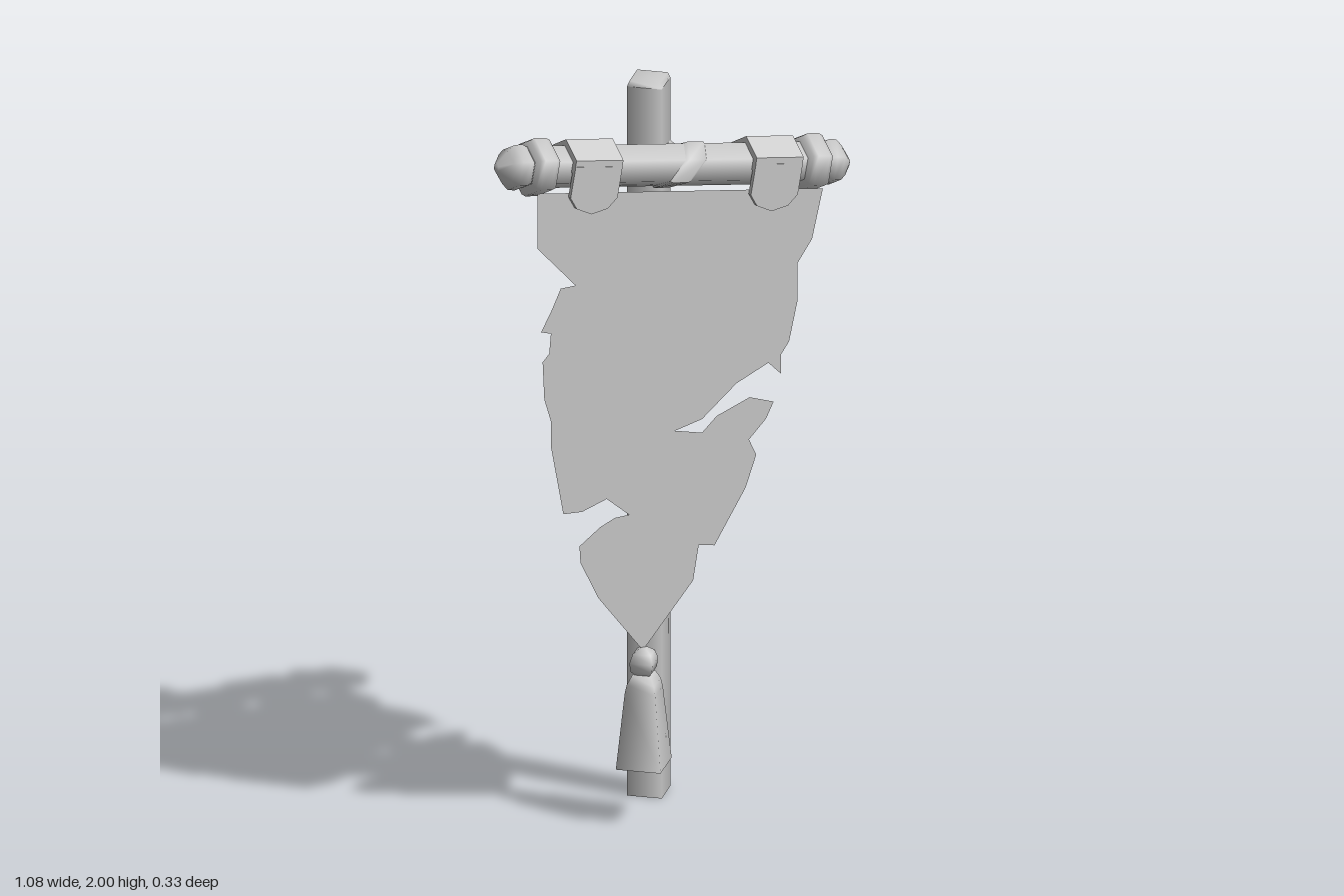
import * as THREE from 'three';

const grey = new THREE.MeshStandardMaterial({ color: 0xcccccc });
const greyDouble = new THREE.MeshStandardMaterial({ color: 0xcccccc, side: THREE.DoubleSide });

function addMesh(parent, name, geometry, material = grey) {
  const mesh = new THREE.Mesh(geometry, material);
  mesh.name = name;
  parent.add(mesh);
  return mesh;
}

const vectors = (pts) => pts.map(([x, y]) => new THREE.Vector2(x, y));

// Turned form around y; profile runs bottom to top as [radius, height]
const turned = (profile, sides, start = 0) =>
  new THREE.LatheGeometry(vectors(profile), sides, start);

// Six-sided form along x with one corner pointing up
const turnedAlongX = (profile) => turned(profile, 6, Math.PI / 6).rotateZ(-Math.PI / 2);

// Cloth strap: folded over the bar, with a rounded flap hanging in front
function makeLoop(x) {
  const loop = new THREE.Group();
  loop.name = 'hangingLoop';
  const width = 0.145;
  const fold = new THREE.Shape(vectors([
    [-0.064, -0.03], [-0.05, -0.03], [-0.05, 0.029], [0, 0.058], [0.05, 0.029],
    [0.05, 0], [0.066, 0], [0.066, 0.037], [0, 0.075], [-0.064, 0.037],
  ]));
  const foldGeometry = new THREE.ExtrudeGeometry(fold, { depth: width, bevelEnabled: false });
  foldGeometry.rotateY(-Math.PI / 2).translate(width / 2, 0, 0);
  addMesh(loop, 'loopFold', foldGeometry);

  const h = width / 2;
  const flap = new THREE.Shape(vectors([
    [-h, 0.02], [-h, -0.065], [-0.048, -0.095], [0, -0.11], [0.048, -0.095], [h, -0.065], [h, 0.02],
  ]));
  const flapGeometry = new THREE.ExtrudeGeometry(flap, { depth: 0.012, bevelEnabled: false });
  addMesh(loop, 'loopFlap', flapGeometry.translate(0, 0, 0.055));
  loop.position.x = x;
  return loop;
}

export function createModel() {
  const model = new THREE.Group();
  model.name = 'tatteredBanner';

  // Square pole turned corner-on, with a lashing around it
  const pole = new THREE.Group();
  pole.name = 'pole';
  pole.position.set(-0.003, 0, -0.085);
  model.add(pole);
  addMesh(pole, 'poleShaft', turned([[0.066, 0], [0.066, 1.985]], 4));
  addMesh(pole, 'poleTop', turned([[0.066, 1.985], [0.058, 2], [0, 2]], 4));
  addMesh(pole, 'poleBottom', turned([[0, 0], [0.066, 0]], 4));
  addMesh(pole, 'poleLashing', turned(
    [[0.064, 1.748], [0.08, 1.765], [0.083, 1.78], [0.08, 1.795], [0.064, 1.812]], 4));

  // Slanted crossbar
  const crossbar = new THREE.Group();
  crossbar.name = 'crossbar';
  crossbar.position.set(0, 1.79, 0.028);
  crossbar.rotation.z = -0.184;
  model.add(crossbar);
  addMesh(crossbar, 'barShaft', turnedAlongX([[0.058, -0.46], [0.058, 0.46]]));

  // Collars and pointed finials, mirrored at both ends
  for (const side of [-1, 1]) {
    const end = new THREE.Group();
    end.name = side < 0 ? 'rightBarEnd' : 'leftBarEnd';
    if (side < 0) end.rotation.y = Math.PI;
    addMesh(end, 'collar', turnedAlongX(
      [[0.054, 0.383], [0.074, 0.392], [0.08, 0.405], [0.08, 0.44], [0.074, 0.452], [0.054, 0.461]]));
    addMesh(end, 'finial', turnedAlongX(
      [[0.054, 0.455], [0.063, 0.475], [0.062, 0.497], [0.045, 0.517], [0.012, 0.544], [0, 0.547]]));
    crossbar.add(end);
  }
  crossbar.add(makeLoop(-0.27), makeLoop(0.288));

  // Lashing that crosses the bar on a slant
  const lashing = turnedAlongX(
    [[0.056, -0.035], [0.063, -0.024], [0.063, 0.024], [0.056, 0.035]]);
  const p = lashing.attributes.position;
  for (let i = 0; i < p.count; i++) p.setX(i, p.getX(i) + 0.02 + 0.65 * p.getY(i));
  lashing.computeVertexNormals();
  addMesh(crossbar, 'barLashing', lashing);

  // Torn cloth, outlined from the top right corner down and round the tip
  const outline = [
    [-0.44, 1.815], [-0.44, 1.66], [-0.325, 1.535], [-0.37, 1.535], [-0.4, 1.475], [-0.43, 1.425],
    [-0.4, 1.415], [-0.405, 1.36], [-0.425, 1.34], [-0.42, 1.235], [-0.4, 1.17], [-0.4, 1.1],
    [-0.362, 0.902], [-0.305, 0.897], [-0.23, 0.918], [-0.162, 0.86], [-0.205, 0.86], [-0.25, 0.843],
    [-0.313, 0.802], [-0.31, 0.755], [-0.255, 0.645], [-0.12, 0.472], [0.033, 0.637], [0.05, 0.733],
    [0.098, 0.722], [0.193, 0.865], [0.225, 0.95], [0.203, 0.997], [0.255, 1.045], [0.278, 1.088],
    [0.205, 1.115], [0.105, 1.083], [0.06, 1.045], [-0.022, 1.067], [0.06, 1.083], [0.165, 1.162],
    [0.262, 1.2], [0.3, 1.162], [0.3, 1.215], [0.325, 1.247], [0.35, 1.353], [0.35, 1.46],
    [0.395, 1.52], [0.428, 1.655],
  ];
  addMesh(model, 'cloth', new THREE.ShapeGeometry(new THREE.Shape(vectors(outline))), greyDouble)
    .position.z = 0.08;

  // Tassel below the tip of the cloth
  const tassel = new THREE.Group();
  tassel.name = 'tassel';
  tassel.position.set(-0.118, 0, 0.081);
  model.add(tassel);
  addMesh(tassel, 'tasselKnot', turned(
    [[0.02, 0.4], [0.04, 0.42], [0.044, 0.443], [0.034, 0.467], [0.012, 0.48], [0, 0.481]], 4));
  addMesh(tassel, 'tasselSkirt', turned(
    [[0.085, 0.155], [0.058, 0.362], [0.052, 0.385], [0.036, 0.408], [0, 0.41]], 4));
  addMesh(tassel, 'tasselBase', turned([[0, 0.155], [0.085, 0.155]], 4));

  return model;
}
